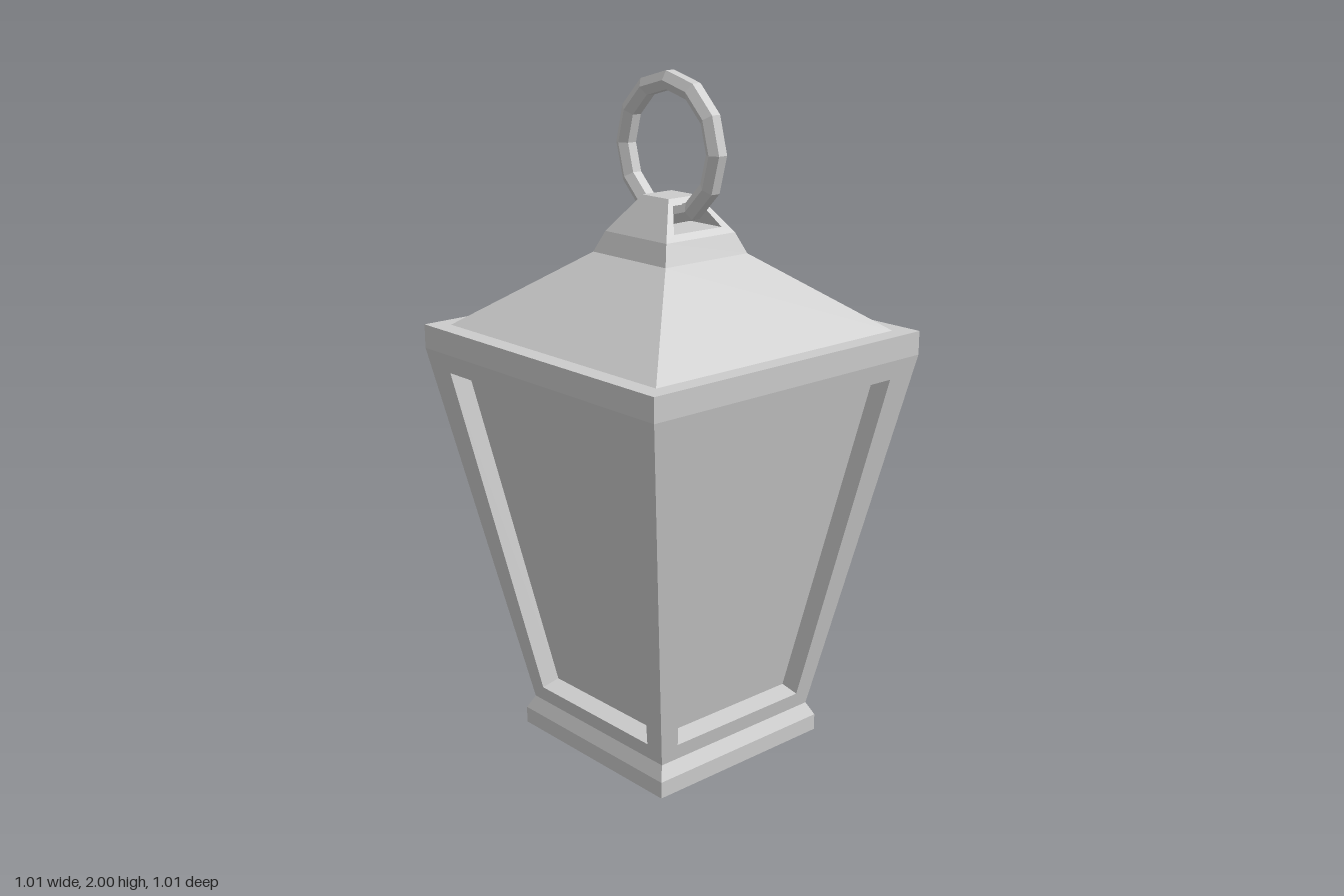
import * as THREE from 'three';

const metal = new THREE.MeshStandardMaterial({ color: 0xcccccc });
metal.name = 'grey metal';

function part(name, geometry) {
  // Split the faces so every facet gets its own flat normal
  const flat = geometry.index ? geometry.toNonIndexed() : geometry;
  flat.computeVertexNormals();
  const mesh = new THREE.Mesh(flat, metal);
  mesh.name = name;
  return mesh;
}

// Stack of square tiers from [half width, height] pairs, bottom to top
function squareTiers(name, profile) {
  const points = profile.map(([half, y]) => new THREE.Vector2(half * Math.SQRT2, y));
  return part(name, new THREE.LatheGeometry(points, 4, Math.PI / 4));
}

const slope = (0.505 - 0.295) / (1.2 - 0.09);
const bodyHalf = (y) => 0.295 + (y - 0.09) * slope;

// One leaning side: outer frame, opening walls and recessed pane
function sidePanel(name) {
  const ring = (bottomHalf, bottom, topHalf, top) => [
    [-bottomHalf, bottom], [bottomHalf, bottom], [topHalf, top], [-topHalf, top],
  ].map(([x, y]) => new THREE.Vector3(x, y, bodyHalf(y)));
  const outer = ring(0.295, 0.09, 0.505, 1.2);
  const opening = ring(0.243, 0.14, 0.398, 1.143);
  const inward = new THREE.Vector3(0, slope, -1).normalize().multiplyScalar(0.06);
  const pane = opening.map((p) => p.clone().add(inward));

  const points = [];
  const quad = (a, b, c, d) => points.push(a, b, c, a, c, d);
  for (const [from, to] of [[outer, opening], [opening, pane]]) {
    for (let i = 0; i < 4; i++) {
      const j = (i + 1) % 4;
      quad(from[i], from[j], to[j], to[i]);
    }
  }
  quad(...pane);
  return part(name, new THREE.BufferGeometry().setFromPoints(points));
}

// Top loop: a tapering block with an opening running from side to side
function hangerCap() {
  const shape = new THREE.Shape([
    [-0.13, 1.55], [0.13, 1.55], [0.055, 1.655], [-0.055, 1.655],
  ].map((p) => new THREE.Vector2(...p)));
  shape.holes.push(new THREE.Path([
    [-0.09, 1.568], [-0.05, 1.637], [0.05, 1.637], [0.09, 1.568],
  ].map((p) => new THREE.Vector2(...p))));
  const geometry = new THREE.ExtrudeGeometry(shape, { depth: 2, bevelEnabled: false });
  geometry.translate(0, 0, -1).rotateY(Math.PI / 2);
  // Taper the ends to match the front and back slopes
  const pos = geometry.attributes.position;
  for (let i = 0; i < pos.count; i++) {
    const t = (pos.getY(i) - 1.55) / 0.105;
    pos.setX(i, pos.getX(i) * THREE.MathUtils.lerp(0.13, 0.055, t));
  }
  return part('hangerCap', geometry);
}

// Six-sided bar bent into a twelve-sided ring
function hangingRing() {
  const section = [];
  for (let i = 0; i <= 6; i++) {
    const a = ((i - 0.5) * Math.PI) / 3;
    section.push(new THREE.Vector2(0.189 + 0.03 * Math.cos(a), 0.03 * Math.sin(a)));
  }
  const geometry = new THREE.LatheGeometry(section, 12);
  geometry.rotateX(Math.PI / 2).translate(0, 1.785, 0);
  return part('hangingRing', geometry);
}

export function createModel() {
  const lantern = new THREE.Group();
  lantern.name = 'lantern';

  lantern.add(squareTiers('base', [[0, 0], [0.315, 0], [0.315, 0.05], [0.295, 0.09]]));

  ['front', 'left', 'back', 'right'].forEach((side, i) => {
    const panel = sidePanel(side + 'Panel');
    panel.rotation.y = (i * Math.PI) / 2;
    lantern.add(panel);
  });

  lantern.add(squareTiers('roof', [
    [0.505, 1.2], [0.505, 1.27], [0.45, 1.27], [0.155, 1.49], [0.13, 1.55],
  ]));
  lantern.add(hangerCap(), hangingRing());
  return lantern;
}
